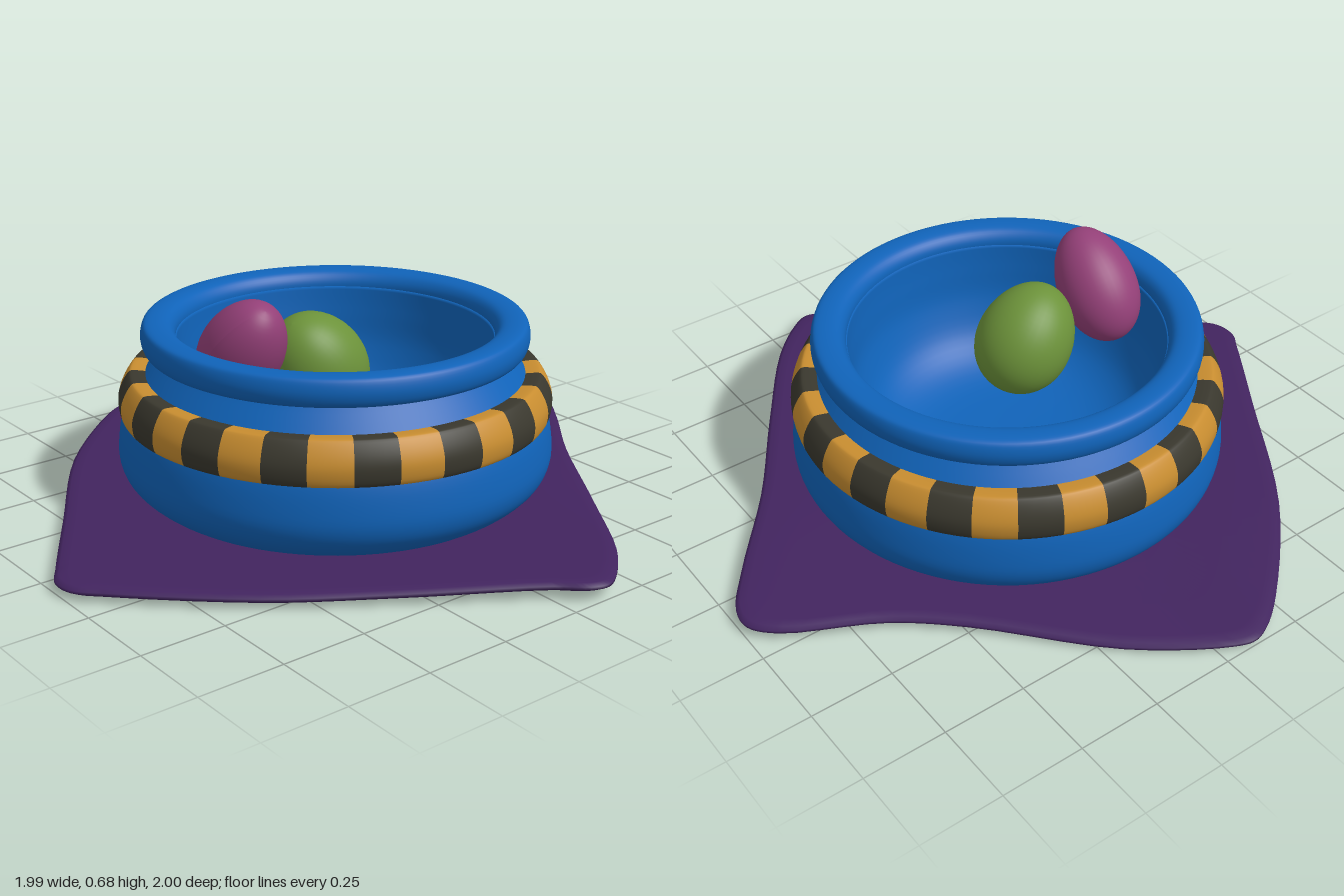
import * as THREE from 'three';
import { mergeVertices } from 'three/addons/utils/BufferGeometryUtils.js';

const mat = (name, color) => {
  const m = new THREE.MeshStandardMaterial({ color });
  m.name = name;
  return m;
};
const vec = ([x, y]) => new THREE.Vector2(x, y);
const smooth = (pts, n) => new THREE.SplineCurve(pts.map(vec)).getPoints(n);

// Cloth corners and edges, as x, z pairs going from the front to the left side
const CLOTH = [
  [0.07, 0.985], [0.12, 1], [0.18, 0.97], [0.3, 0.86], [0.5, 0.58], [0.7, 0.28], [0.9, 0.04],
  [0.985, -0.08], [0.99, -0.15], [0.93, -0.22], [0.67, -0.36], [0.5, -0.5], [0.2, -0.81],
  [-0.04, -0.98], [-0.1, -1], [-0.16, -0.98], [-0.26, -0.91], [-0.53, -0.64], [-0.79, -0.25],
  [-0.96, 0.01], [-0.995, 0.07], [-0.99, 0.14], [-0.93, 0.21], [-0.63, 0.49], [-0.34, 0.69], [0, 0.92],
];

// A soft bump in the cloth around a point
const bump = (x, z, cx, cz, h) => h * Math.exp(-((x - cx) ** 2 + (z - cz) ** 2) / 0.16);

function clothGeometry() {
  const segments = 130;
  const section = [
    [0, -0.015], [0.3, -0.015], [0.6, -0.015], [0.8, -0.015], [0.95, -0.014], [0.985, -0.012], [1, -0.004],
    [1, 0.004], [0.985, 0.012], [0.95, 0.014], [0.8, 0.015], [0.6, 0.015], [0.3, 0.015], [0, 0.015],
  ];
  const geo = new THREE.LatheGeometry(section.map(vec), segments);
  const outline = new THREE.CatmullRomCurve3(CLOTH.map(([x, z]) => new THREE.Vector3(x, 0, z)), true);
  const pos = geo.attributes.position;
  for (let i = 0; i < pos.count; i++) {
    const [s, h] = section[i % section.length];
    const turn = Math.floor(i / section.length) % segments;
    const p = outline.getPoint(turn / segments).multiplyScalar(s);
    const wave = bump(p.x, p.z, 0.68, 0.22, 0.02) + bump(p.x, p.z, 0.15, -0.8, -0.014)
      + bump(p.x, p.z, 0.1, 1, 0.012);
    pos.setXYZ(i, p.x, 0.03 + h + wave, p.z);
  }
  geo.deleteAttribute('uv');
  geo.deleteAttribute('normal');
  const merged = mergeVertices(geo);
  merged.computeVertexNormals();
  return merged;
}

// Egg with its narrower end along +y before it is tilted along an axis
function egg(name, material, radius, halfLength, centre, axis) {
  const geo = new THREE.SphereGeometry(1, 40, 28);
  const pos = geo.attributes.position;
  for (let i = 0; i < pos.count; i++) {
    const y = pos.getY(i);
    const r = radius * (1 - 0.07 * y);
    pos.setXYZ(i, pos.getX(i) * r, y * halfLength, pos.getZ(i) * r);
  }
  geo.computeVertexNormals();
  const mesh = new THREE.Mesh(geo, material);
  mesh.name = name;
  mesh.position.set(...centre);
  mesh.quaternion.setFromUnitVectors(new THREE.Vector3(0, 1, 0), new THREE.Vector3(...axis).normalize());
  return mesh;
}

export function createModel() {
  const group = new THREE.Group();
  group.name = 'bowlOnCloth';
  const blue = mat('blue glaze', 0x1063b9);
  const ochre = mat('ochre', 0xc88d30);
  const charcoal = mat('charcoal', 0x3a382e);
  const purple = mat('purple cloth', 0x42245f);
  const pink = mat('plum pink', 0x944078);
  const green = mat('leaf green', 0x6c923a);
  const add = (name, geo, material, parent = group) => {
    const mesh = new THREE.Mesh(geo, material);
    mesh.name = name;
    parent.add(mesh);
  };

  add('cloth', clothGeometry(), purple);

  // Bowl body: outer wall, then the hollow inside
  const outer = smooth([[0.5, 0.035], [0.56, 0.055], [0.615, 0.1], [0.638, 0.15], [0.638, 0.21],
    [0.622, 0.29], [0.585, 0.36], [0.545, 0.415], [0.5, 0.475], [0.49, 0.51]], 36);
  const inner = smooth([[0.462, 0.51], [0.456, 0.43], [0.44, 0.32], [0.38, 0.2], [0.25, 0.135], [0, 0.12]], 28);
  add('bowlBody', new THREE.LatheGeometry([new THREE.Vector2(0, 0.035), ...outer, ...inner], 96), blue);

  // Rolled rim
  const rim = smooth([[0.48, 0.475], [0.53, 0.471], [0.556, 0.48], [0.566, 0.512], [0.56, 0.545], [0.545, 0.557],
    [0.51, 0.558], [0.482, 0.549], [0.466, 0.525], [0.466, 0.495], [0.48, 0.475]], 40);
  add('rim', new THREE.LatheGeometry(rim, 96), blue);

  // Striped band around the shoulder
  const band = new THREE.Group();
  band.name = 'stripedBand';
  group.add(band);
  const bandProfile = smooth([[0.59, 0.278], [0.618, 0.276], [0.632, 0.292], [0.636, 0.33], [0.626, 0.365],
    [0.606, 0.398], [0.59, 0.405], [0.545, 0.4]], 24);
  const stripes = 32;
  const step = (Math.PI * 2) / stripes;
  for (let i = 0; i < stripes; i++) {
    const geo = new THREE.LatheGeometry(bandProfile, 3, i * step, step);
    add('bandStripe', geo, i % 2 ? charcoal : ochre, band);
  }

  // Two eggs resting inside
  group.add(egg('pinkEgg', pink, 0.119, 0.178, [-0.345, 0.53, 0.02], [0, 0.75, 0.62]));
  group.add(egg('greenEgg', green, 0.143, 0.172, [-0.09, 0.436, 0.03], [-0.55, 0.8, 0.05]));
  return group;
}
